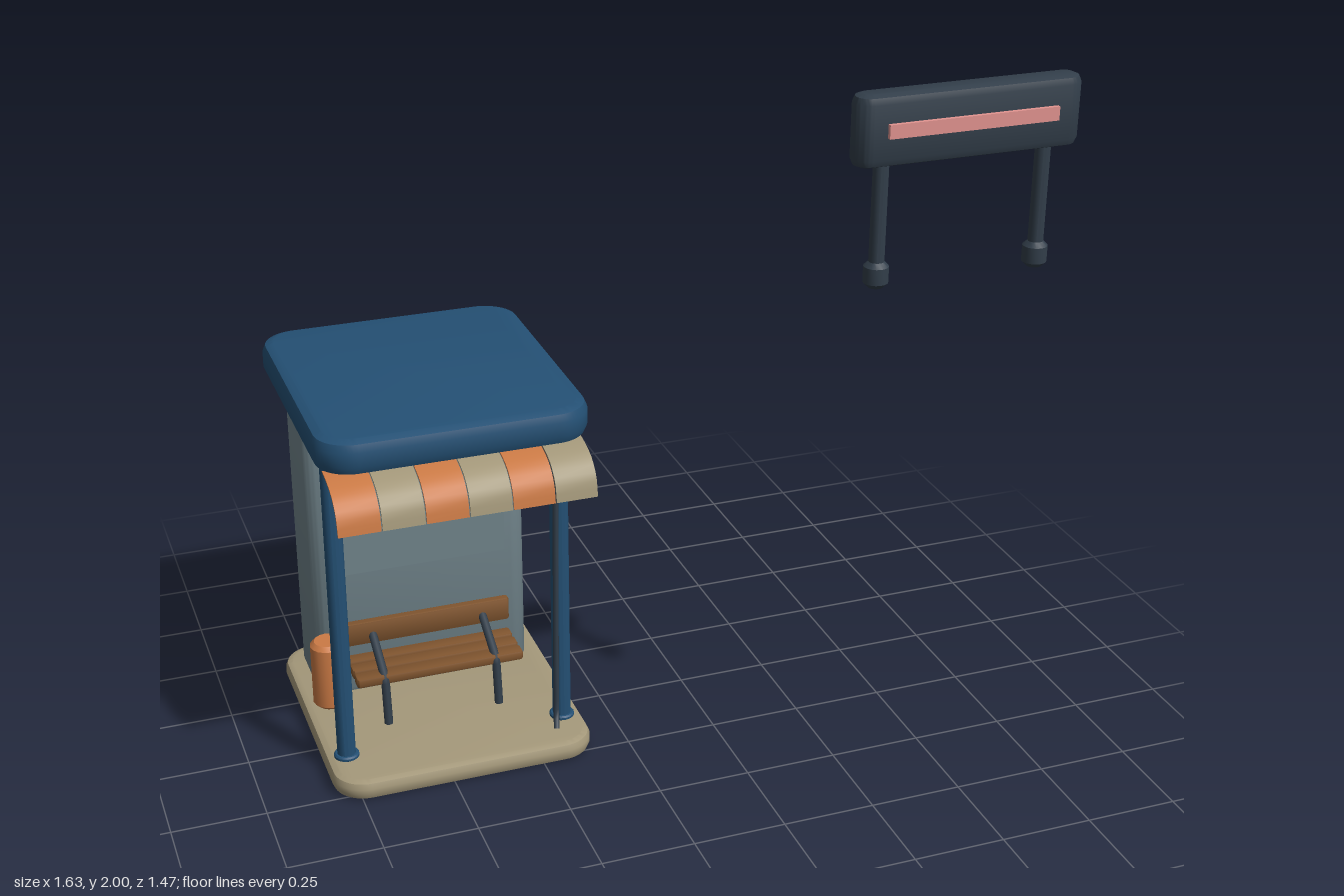
import * as THREE from 'three';
import { toCreasedNormals } from 'three/addons/utils/BufferGeometryUtils.js';

const mat = (name, color, side = THREE.FrontSide) => {
  const m = new THREE.MeshStandardMaterial({ color, side });
  m.name = name;
  return m;
};

// Rounded plate lying flat: bottom at y = 0, corner radius r, edge bevel b
function slab(w, h, d, r, b) {
  const x = w / 2 - b, y = d / 2 - b, q = Math.max(r - b, 0.002);
  const s = new THREE.Shape();
  s.moveTo(-x + q, -y);
  s.absarc(x - q, -y + q, q, -Math.PI / 2, 0);
  s.absarc(x - q, y - q, q, 0, Math.PI / 2);
  s.absarc(-x + q, y - q, q, Math.PI / 2, Math.PI);
  s.absarc(-x + q, -y + q, q, Math.PI, Math.PI * 1.5);
  const g = new THREE.ExtrudeGeometry(s, {
    depth: h - 2 * b, bevelEnabled: true, bevelSize: b, bevelThickness: b, bevelSegments: 2, curveSegments: 6,
  });
  g.rotateX(-Math.PI / 2).translate(0, b, 0);
  return toCreasedNormals(g, 0.75);
}

// Upright round bar with chamfered ends, bottom at y = 0
function bar(r, h, c = 0.004) {
  const p = [[0, 0], [r - c, 0], [r, c], [r, h - c], [r - c, h], [0, h]];
  return toCreasedNormals(new THREE.LatheGeometry(p.map(([x, y]) => new THREE.Vector2(x, y)), 16), 0.6);
}

export function createModel() {
  const root = new THREE.Group();
  const blue = mat('roof blue', 0x245074);
  const grey = mat('wall grey', 0x70838a);
  const beige = mat('beige', 0xa4987a, THREE.DoubleSide);
  const orange = mat('orange', 0xcb7a45, THREE.DoubleSide);
  const wood = mat('wood brown', 0x80552f);
  const dark = mat('dark metal', 0x323e4a);
  const pink = mat('pink light', 0xe29490);

  const add = (name, geo, material, x, y, z, parent = root) => {
    const m = new THREE.Mesh(geo, material);
    m.name = name;
    m.position.set(x, y, z);
    parent.add(m);
    return m;
  };
  const group = (name) => {
    const g = new THREE.Group();
    g.name = name;
    root.add(g);
    return g;
  };
  const cx = -0.457;

  // Shelter body
  add('base', slab(0.715, 0.055, 0.76, 0.09, 0.02), beige, cx, 0, -0.342);
  add('roof', slab(0.715, 0.095, 0.785, 0.1, 0.028), blue, cx, 0.95, -0.342);
  add('backBooth', slab(0.61, 0.86, 0.26, 0.055, 0.028), grey, cx, 0.04, -0.553);
  add('wallPanel', new THREE.BoxGeometry(0.475, 0.22, 0.02), grey, cx, 0.54, -0.422);

  // Front posts, their feet and the ceiling lamps
  for (const s of [-1, 1]) {
    add('post', bar(0.025, 0.91), blue, cx + s * 0.302, 0.05, -0.113);
    add('postFoot', bar(0.034, 0.014), blue, cx + s * 0.302, 0.052, -0.113);
    add('ceilingLamp', bar(0.036, 0.02), beige, cx + s * 0.21, 0.936, -0.168);
  }

  // Thin drain pipe by one post
  const pipe = new THREE.CatmullRomCurve3([
    [-0.178, 0.955, -0.06], [-0.181, 0.6, -0.064], [-0.185, 0.2, -0.064],
    [-0.187, 0.09, -0.06], [-0.195, 0.062, -0.035],
  ].map((p) => new THREE.Vector3(...p)));
  add('drainPipe', new THREE.TubeGeometry(pipe, 32, 0.008, 8), dark, 0, 0, 0);

  // Striped awning: each strip is a thin curved sheet
  const awning = group('awning');
  const curve = new THREE.CatmullRomCurve3([
    [-0.02, 0.95], [0.02, 0.945], [0.08, 0.926], [0.118, 0.888], [0.13, 0.837],
  ].map(([z, y]) => new THREE.Vector3(0, y, z)));
  const steps = 10, t = 0.005;
  const outer = curve.getPoints(steps).map((p) => new THREE.Vector2(-p.z, p.y));
  const inner = outer.map((p) => new THREE.Vector2(p.x + t * 0.7, p.y - t * 0.7)).reverse();
  inner[0].y = outer[steps].y;
  const stripW = 0.67 / 6;
  for (let i = 0; i < 6; i++) {
    const g = new THREE.ExtrudeGeometry(new THREE.Shape([...outer, ...inner]), { depth: stripW - 0.003, bevelEnabled: false });
    g.rotateY(Math.PI / 2);
    add('awningStrip', toCreasedNormals(g, 0.6), i % 2 ? beige : orange, -0.795 + i * stripW, 0, 0, awning);
  }

  // Bench: slatted seat, backrest and two bent side frames
  const bench = group('bench');
  for (const z of [-0.262, -0.312, -0.364]) {
    add('seatSlat', slab(0.47, 0.027, 0.042, 0.01, 0.006), wood, cx, 0.17, z, bench);
  }
  add('backrest', slab(0.47, 0.068, 0.026, 0.01, 0.006), wood, cx, 0.228, -0.384, bench);
  for (const x of [-0.614, -0.3]) {
    const path = new THREE.CurvePath();
    const p = [[0.05, -0.23], [0.185, -0.247], [0.262, -0.39]].map(([y, z]) => new THREE.Vector3(0, y, z));
    path.add(new THREE.LineCurve3(p[0], p[1]));
    path.add(new THREE.LineCurve3(p[1], p[2]));
    add('benchFrame', new THREE.TubeGeometry(path, 24, 0.012, 8), dark, x, 0, 0, bench);
    add('benchFrameTip', new THREE.SphereGeometry(0.012, 10, 8), dark, x, 0.262, -0.39, bench);
    add('seatBracket', new THREE.BoxGeometry(0.02, 0.012, 0.14), dark, x, 0.18, -0.312, bench);
  }

  // Litter bin
  add('bin', bar(0.049, 0.2, 0.012), orange, -0.739, 0.053, -0.388);

  // Separate raised sign with lit strip and two legs
  const sign = group('sign');
  add('signPanel', slab(0.55, 0.165, 0.074, 0.037, 0.02), dark, 0.54, 1.835, 0.688, sign);
  add('signLight', new THREE.BoxGeometry(0.412, 0.032, 0.012), pink, 0.539, 1.921, 0.729, sign);
  for (const x of [0.338, 0.737]) {
    add('signLeg', bar(0.018, 0.27), dark, x, 1.58, 0.688, sign);
    add('signFoot', bar(0.029, 0.062, 0.012), dark, x, 1.549, 0.688, sign);
  }
  return root;
}
